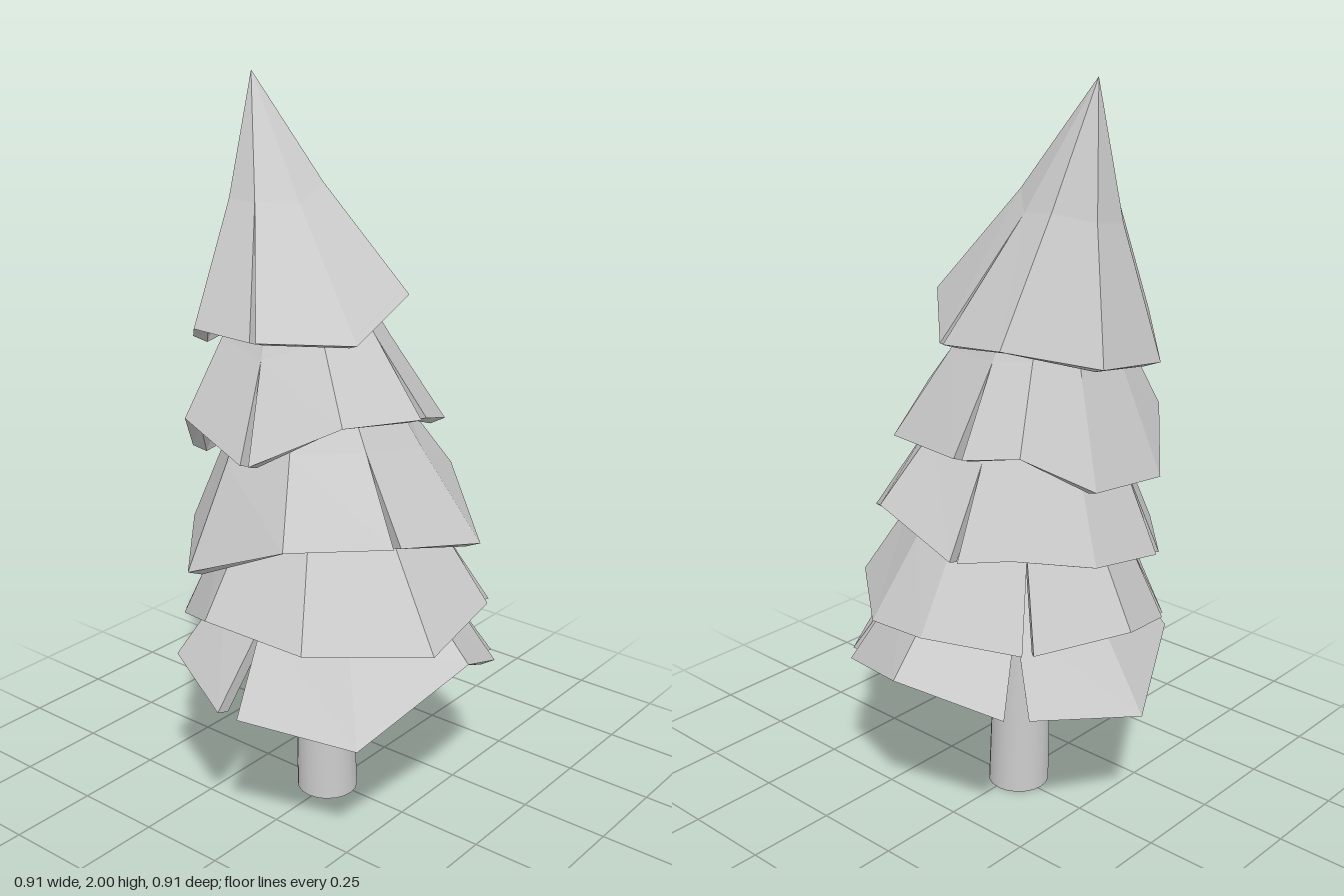
import * as THREE from 'three';

// Each tier: hem centre and radius, notch width in degrees, crown [x, y, radius] it hangs
// from, inward sag, and hem corners
// [degrees from +x towards +z, height, notched here, extra reach].
const TIERS = [
  { name: 'topBough', cx: -0.1, radius: 0.313, gap: 3, crown: [-0.27, 2, 0], sag: 0.018, hem: [
    [25, 1.37], [72, 1.38, true], [113, 1.38], [157, 1.3], [201, 1.33], [248, 1.38],
    [286, 1.36, true, -0.02], [334, 1.45, false, -0.03]] },
  { name: 'upperBough', cx: -0.07, radius: 0.347, gap: 4, crown: [-0.12, 1.55, 0.11], sag: 0.006, hem: [
    [38, 1.18], [78, 1.07, true], [125, 1.13], [157, 0.99], [202, 1.02], [234, 1.12],
    [259, 1.1, true], [311, 1.08, false, 0.02], [353, 1.16, true]] },
  { name: 'middleBough', cx: -0.02, radius: 0.397, gap: 3, crown: [-0.07, 1.3, 0.15], sag: 0.006, hem: [
    [23, 0.88, true], [67, 0.88], [112, 0.75, false, 0.02], [160, 0.78, true], [199, 0.82],
    [231, 0.86], [251, 0.84, true], [293, 0.92], [338, 0.8, false, 0.03]] },
  { name: 'lowerBough', cx: 0.01, radius: 0.422, gap: 4, crown: [-0.02, 1.04, 0.18], sag: 0.004, hem: [
    [16, 0.59, false, 0.015], [63, 0.62], [105, 0.64], [143, 0.54, true], [180, 0.6],
    [220, 0.6, true], [261, 0.62], [288, 0.6], [330, 0.62, true]] },
  { name: 'bottomBough', cx: 0, radius: 0.456, gap: 8, crown: [0, 0.84, 0.17], sag: 0.004, hem: [
    [0, 0.53], [44, 0.39, false, 0.04], [84, 0.42, true], [130, 0.46, false, -0.02], [180, 0.37],
    [223, 0.44, true], [271, 0.49], [314, 0.4, true]] },
];

const THICK = 0.04;

// Splits the hem at its notches into strips of corners running round the tree;
// the second angle is where the panel body lies, so a notch closes upwards
function splitHem({ hem, gap }) {
  const start = hem.findIndex((corner) => corner[2]);
  const strips = [];
  for (let i = 0; i <= hem.length; i++) {
    const [angle, y, notched, reach = 0] = hem[(start + i) % hem.length];
    const body = notched ? angle + gap / 2 : angle;
    if (i > 0) strips[strips.length - 1].push({ angle, body, y, reach });
    if (notched && i < hem.length) strips.push([{ angle: angle + gap, body, y, reach }]);
  }
  return strips;
}

function heading(degrees) {
  const a = THREE.MathUtils.degToRad(degrees);
  return new THREE.Vector3(Math.cos(a), 0, Math.sin(a));
}

// Closed section through the skirt at one hem corner: up the outside, down the inside
function section({ angle, body, y, reach }, { cx, radius, crown: [tx, ty, tr], sag }) {
  const dir = heading(body);
  const rim = (degrees) => new THREE.Vector3(cx, y, 0).addScaledVector(heading(degrees), radius + reach);
  const hem = rim(angle);
  const top = new THREE.Vector3(tx, ty, 0).addScaledVector(dir, tr);
  const mid = rim(body).lerp(top, 0.5).addScaledVector(dir, -sag);
  const inward = (p) => {
    const q = p.clone().addScaledVector(dir, -THICK);
    q.y -= THICK * 0.35;
    return q;
  };
  const innerTop = tr > 0 ? inward(top) : new THREE.Vector3(tx + 0.02, ty - 0.15, 0);
  return [hem, mid, top, innerTop, inward(mid), inward(hem)];
}

// Thick faceted skirt panel lofted between its sections, with capped ends
function panelGeometry(corners, tier) {
  const rings = corners.map((corner) => section(corner, tier));
  const pos = [];
  const quad = (a, b, c, d) => {
    for (const p of [a, b, c, a, c, d]) pos.push(p.x, p.y, p.z);
  };
  for (let i = 0; i < rings.length - 1; i++) {
    const a = rings[i], b = rings[i + 1];
    for (let k = 0; k < a.length; k++) {
      const m = (k + 1) % a.length;
      quad(a[k], a[m], b[m], b[k]);
    }
  }
  // End caps facing into the notches
  const first = rings[0], last = rings[rings.length - 1];
  for (const [o, p, q, r] of [[0, 1, 4, 5], [1, 2, 3, 4]]) {
    quad(first[o], first[r], first[q], first[p]);
    quad(last[o], last[p], last[q], last[r]);
  }
  const geometry = new THREE.BufferGeometry();
  geometry.setAttribute('position', new THREE.Float32BufferAttribute(pos, 3));
  geometry.computeVertexNormals();
  return geometry;
}

export function createModel() {
  const tree = new THREE.Group();
  tree.name = 'pineTree';
  const grey = new THREE.MeshStandardMaterial({ color: 0xcccccc });
  grey.name = 'pale grey';

  // Trunk: smooth round post leaning slightly
  const height = 0.95;
  const trunkGeometry = new THREE.CylinderGeometry(0.072, 0.086, height, 20);
  trunkGeometry.translate(0, height / 2, 0);
  const p = trunkGeometry.attributes.position;
  for (let i = 0; i < p.count; i++) p.setX(i, p.getX(i) - 0.01 - 0.03 * p.getY(i));
  const trunk = new THREE.Mesh(trunkGeometry, grey);
  trunk.name = 'trunk';
  trunk.position.z = 0.012;
  tree.add(trunk);

  // Tiers of foliage
  for (const tier of TIERS) {
    const bough = new THREE.Group();
    bough.name = tier.name;
    splitHem(tier).forEach((corners, i) => {
      const panel = new THREE.Mesh(panelGeometry(corners, tier), grey);
      panel.name = `${tier.name}Panel${i + 1}`;
      bough.add(panel);
    });
    tree.add(bough);
  }
  return tree;
}
